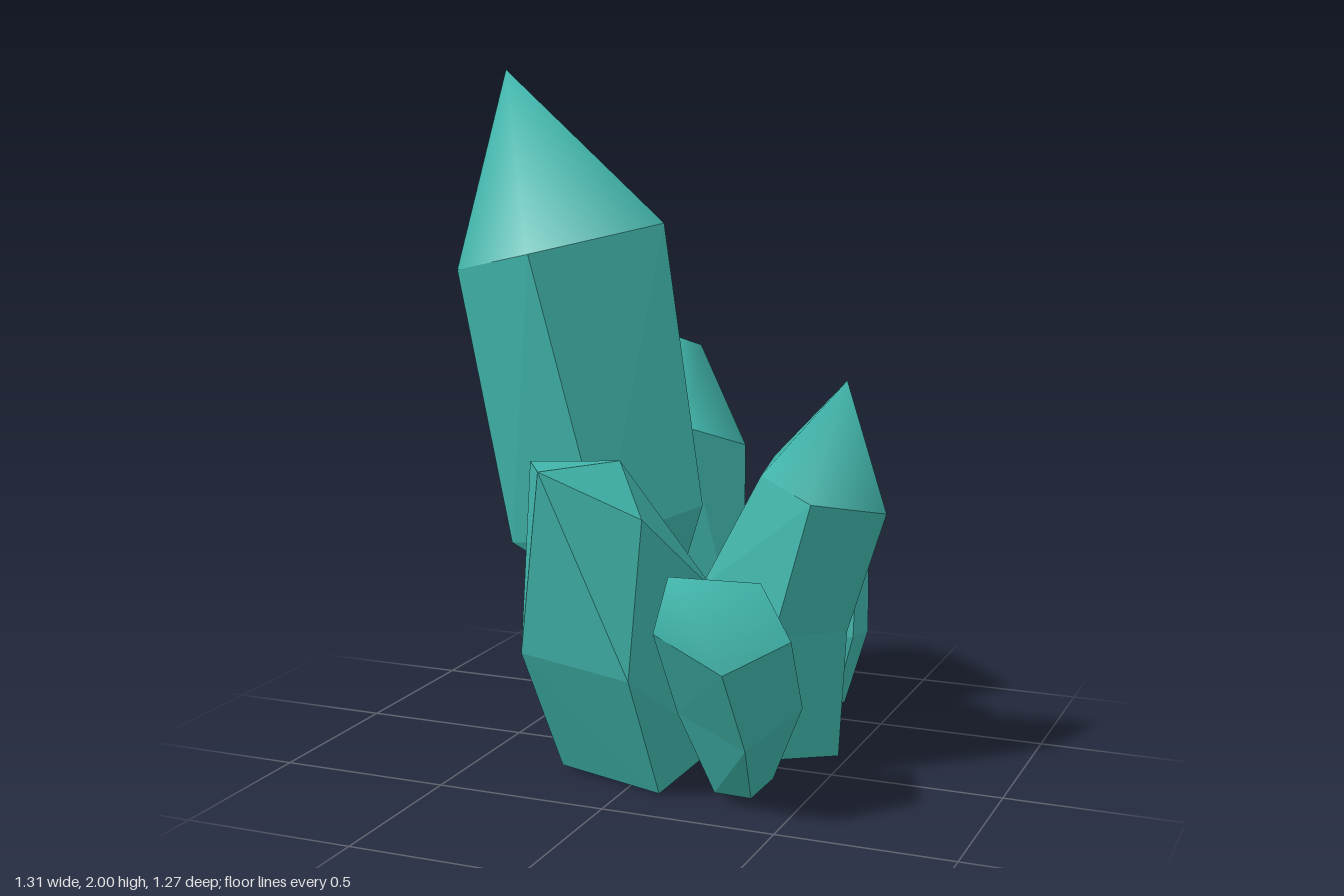
import * as THREE from 'three';
import { ConvexGeometry } from 'three/addons/geometries/ConvexGeometry.js';
import { mergeVertices } from 'three/addons/utils/BufferGeometryUtils.js';

const toVectors = (points) => points.map((p) => new THREE.Vector3(...p));

// Smooth pointed cap: hull over a shoulder ring, without its hidden base.
function tipGeometry(ring, tips) {
  const hull = new ConvexGeometry(toVectors([...ring, ...tips])).attributes.position;
  const tipVectors = toVectors(tips);
  const kept = [];
  for (let i = 0; i < hull.count; i += 3) {
    const corners = [0, 1, 2].map((k) => new THREE.Vector3().fromBufferAttribute(hull, i + k));
    if (corners.some((c) => tipVectors.some((t) => t.distanceTo(c) < 1e-4))) {
      corners.forEach((c) => kept.push(c.x, c.y, c.z));
    }
  }
  const open = new THREE.BufferGeometry();
  open.setAttribute('position', new THREE.Float32BufferAttribute(kept, 3));
  const smooth = mergeVertices(open);
  smooth.computeVertexNormals();
  return smooth;
}

// Flat-sided shaft through the rings, top to bottom, with a cap on the first ring.
function crystal(name, material, rings, tips) {
  const group = new THREE.Group();
  group.name = name;
  for (let i = 0; i < rings.length - 1; i++) {
    const shaft = new THREE.Mesh(new ConvexGeometry(toVectors([...rings[i], ...rings[i + 1]])), material);
    shaft.name = 'shaft';
    group.add(shaft);
  }
  if (tips) {
    const tip = new THREE.Mesh(tipGeometry(rings[0], tips), material);
    tip.name = 'tip';
    group.add(tip);
  }
  return group;
}

export function createModel() {
  const model = new THREE.Group();
  model.name = 'crystalCluster';
  const teal = new THREE.MeshStandardMaterial({ color: 0x40b5ab });
  teal.name = 'teal crystal';

  // Tall leaning crystal
  model.add(crystal('mainCrystal', teal, [
    [[-0.66, 1.42, -0.16], [-0.30, 1.50, -0.25], [-0.02, 1.57, 0], [-0.29, 1.50, 0.33], [-0.60, 1.43, 0.16]],
    [[-0.47, 0.63, -0.13], [-0.10, 0.69, -0.21], [0.10, 0.76, 0], [-0.10, 0.69, 0.26], [-0.45, 0.63, 0.13]],
    [[-0.28, 0.50, -0.07], [-0.12, 0.50, -0.12], [0.02, 0.50, 0], [-0.12, 0.50, 0.15], [-0.26, 0.50, 0.07]],
  ], [[-0.51, 2.0, 0.01]]));

  // Broad rear crystal with a blunt tip
  model.add(crystal('backCrystal', teal, [
    [[-0.09, 0.80, -0.64], [0.07, 0.86, -0.44], [-0.05, 0.94, -0.24], [-0.30, 0.94, -0.25], [-0.38, 0.82, -0.56]],
    [[-0.04, 0.18, -0.43], [0.14, 0.22, -0.24], [-0.09, 0.32, -0.02], [-0.45, 0.31, -0.13], [-0.45, 0.21, -0.36]],
  ], [[-0.25, 1.18, -0.56], [-0.14, 1.14, -0.60], [-0.28, 1.14, -0.47], [-0.26, 1.10, -0.605]]));

  // Chisel-topped crystal at the front
  model.add(crystal('frontCrystal', teal, [
    [[-0.16, 0.94, 0.55], [-0.27, 0.93, 0.37], [-0.02, 0.94, 0.32], [0.10, 0.81, 0.45]],
    [[-0.28, 0.39, 0.42], [0.08, 0.37, 0.50], [0.22, 0.56, 0.20], [-0.05, 0.68, 0.12], [-0.33, 0.53, 0.28]],
    [[-0.24, 0.01, 0.24], [0.10, 0, 0.33], [0.22, 0.11, 0.16], [0, 0.16, 0.05], [-0.22, 0.12, 0.12]],
  ]));

  // Short crystal leaning forward
  model.add(crystal('frontLeftCrystal', teal, [
    [[0.53, 0.52, 0.46], [0.40, 0.46, 0.63], [0.19, 0.54, 0.59], [0.15, 0.58, 0.41], [0.39, 0.63, 0.31]],
    [[0.52, 0.30, 0.33], [0.41, 0.21, 0.48], [0.20, 0.28, 0.44], [0.18, 0.38, 0.26], [0.40, 0.40, 0.20]],
    [[0.41, 0.06, 0.25], [0.37, 0.02, 0.32], [0.27, 0.03, 0.34], [0.25, 0.08, 0.22], [0.35, 0.10, 0.16]],
  ], [[0.25, 0.71, 0.63]]));

  // Side crystal leaning outward
  model.add(crystal('leftCrystal', teal, [
    [[0.65, 0.78, 0], [0.49, 0.83, 0.19], [0.31, 0.88, 0.09], [0.28, 0.90, -0.11], [0.49, 0.83, -0.17]],
    [[0.54, 0.43, 0], [0.39, 0.45, 0.20], [0.13, 0.54, 0.09], [0.13, 0.54, -0.11], [0.39, 0.44, -0.18]],
    [[0.52, 0.06, 0], [0.35, 0.09, 0.21], [0.06, 0.15, 0.13], [0.06, 0.15, -0.14], [0.35, 0.10, -0.24]],
  ], [[0.53, 1.15, 0]]));

  // Small rear crystal
  model.add(crystal('smallCrystal', teal, [
    [[0.36, 0.59, -0.44], [0.49, 0.59, -0.37], [0.50, 0.61, -0.22], [0.35, 0.62, -0.20], [0.26, 0.60, -0.33]],
    [[0.36, 0.34, -0.43], [0.51, 0.35, -0.31], [0.50, 0.36, -0.19], [0.34, 0.36, -0.17], [0.27, 0.35, -0.30]],
    [[0.39, 0.13, -0.33], [0.45, 0.13, -0.28], [0.44, 0.14, -0.21], [0.37, 0.14, -0.21], [0.34, 0.13, -0.28]],
  ], [[0.39, 0.69, -0.30]]));

  return model;
}
